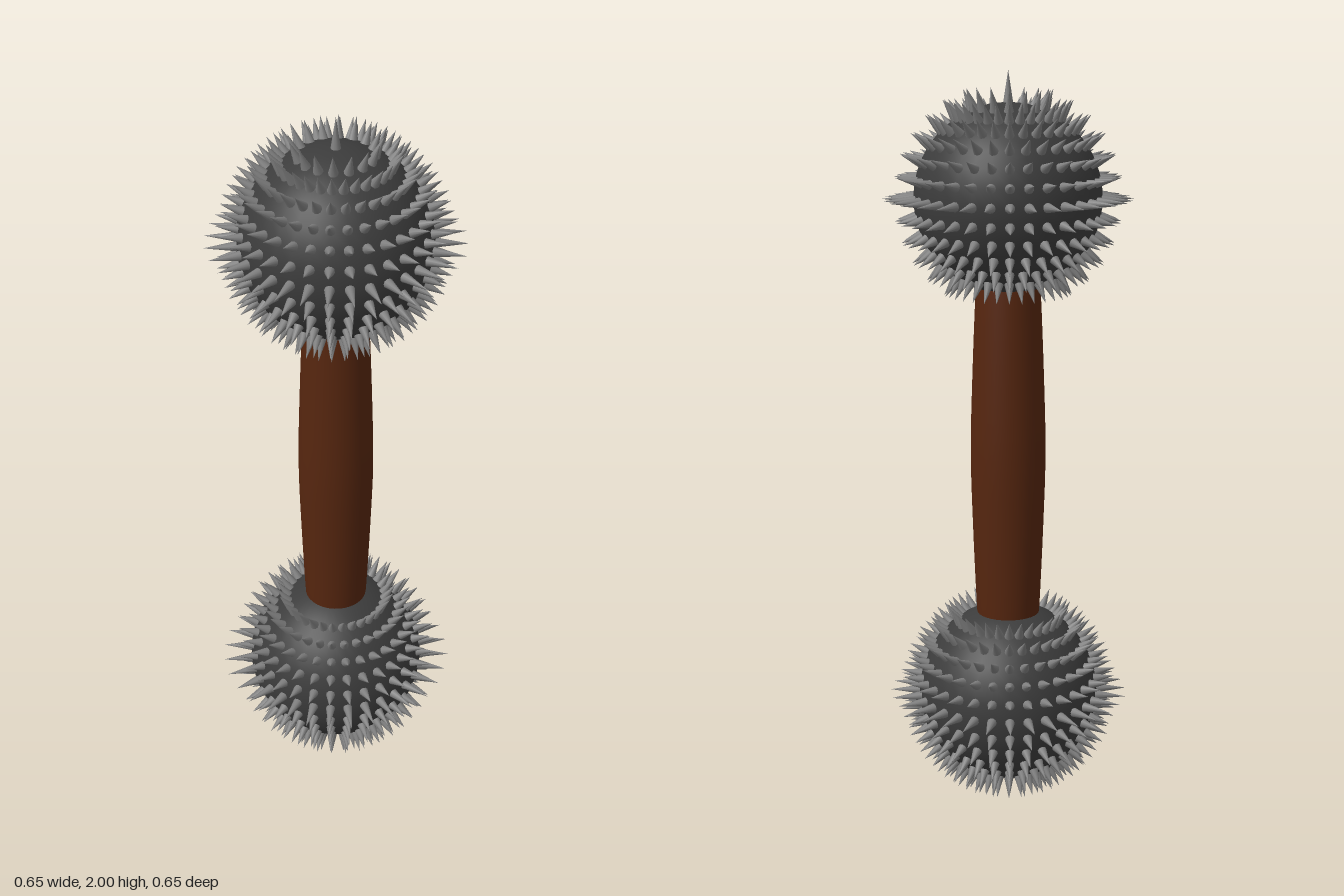
import * as THREE from 'three';
import { mergeGeometries } from 'three/addons/utils/BufferGeometryUtils.js';

const BALL_R = 0.245, BALL_Y = 0.675, STEP = Math.PI / 16;
const UP = new THREE.Vector3(0, 1, 0);

// One cone standing on the ball, pointing outward at the given angles
function spike(polar, around, tip) {
  const base = BALL_R - 0.003;
  const dir = new THREE.Vector3().setFromSphericalCoords(1, polar, around);
  const cone = new THREE.ConeGeometry(0.013, tip - base, 10, 1, true);
  cone.translate(0, (base + tip) / 2, 0);
  return cone.applyQuaternion(new THREE.Quaternion().setFromUnitVectors(UP, dir));
}

// Rings of spikes, bare around the handle side, with one long spike at the pole
function spikeGeometry() {
  const spikes = [spike(0, 0, 0.325)];
  for (let i = 0; i < 16; i++) spikes.push(spike(2 * STEP, (2 * i + 1) * STEP, 0.3));
  for (let ring = 3; ring <= 13; ring++) {
    const tip = ring === 8 ? 0.325 : 0.3;
    for (let i = 0; i < 32; i++) spikes.push(spike(ring * STEP, i * STEP, tip));
  }
  return mergeGeometries(spikes);
}

export function createModel() {
  const wood = new THREE.MeshStandardMaterial({ color: 0x56260f });
  wood.name = 'brown wood';
  const iron = new THREE.MeshStandardMaterial({ color: 0x3c3c3c });
  iron.name = 'dark iron';
  const steel = new THREE.MeshStandardMaterial({ color: 0x808080 });
  steel.name = 'grey steel';

  const model = new THREE.Group();
  model.name = 'spikedDoubleMace';

  // Handle, swelling gently at the middle
  const profile = new THREE.SplineCurve([
    [0.08, 0.5], [0.086, 0.58], [0.095, 0.8], [0.1, 1],
    [0.095, 1.2], [0.086, 1.42], [0.08, 1.5],
  ].map(([r, y]) => new THREE.Vector2(r, y)));
  const handle = new THREE.Mesh(new THREE.LatheGeometry(profile.getPoints(24), 32), wood);
  handle.name = 'handle';
  model.add(handle);

  // Matching spiked heads, the lower one turned upside down
  const ballGeometry = new THREE.SphereGeometry(BALL_R, 32, 16);
  const spikesGeometry = spikeGeometry();
  for (const [name, side] of [['upperHead', 1], ['lowerHead', -1]]) {
    const head = new THREE.Group();
    head.name = name;
    const ball = new THREE.Mesh(ballGeometry, iron);
    ball.name = 'ball';
    const spikes = new THREE.Mesh(spikesGeometry, steel);
    spikes.name = 'spikes';
    head.add(ball, spikes);
    head.position.y = 1 + side * BALL_Y;
    if (side < 0) head.rotation.x = Math.PI;
    model.add(head);
  }
  return model;
}
